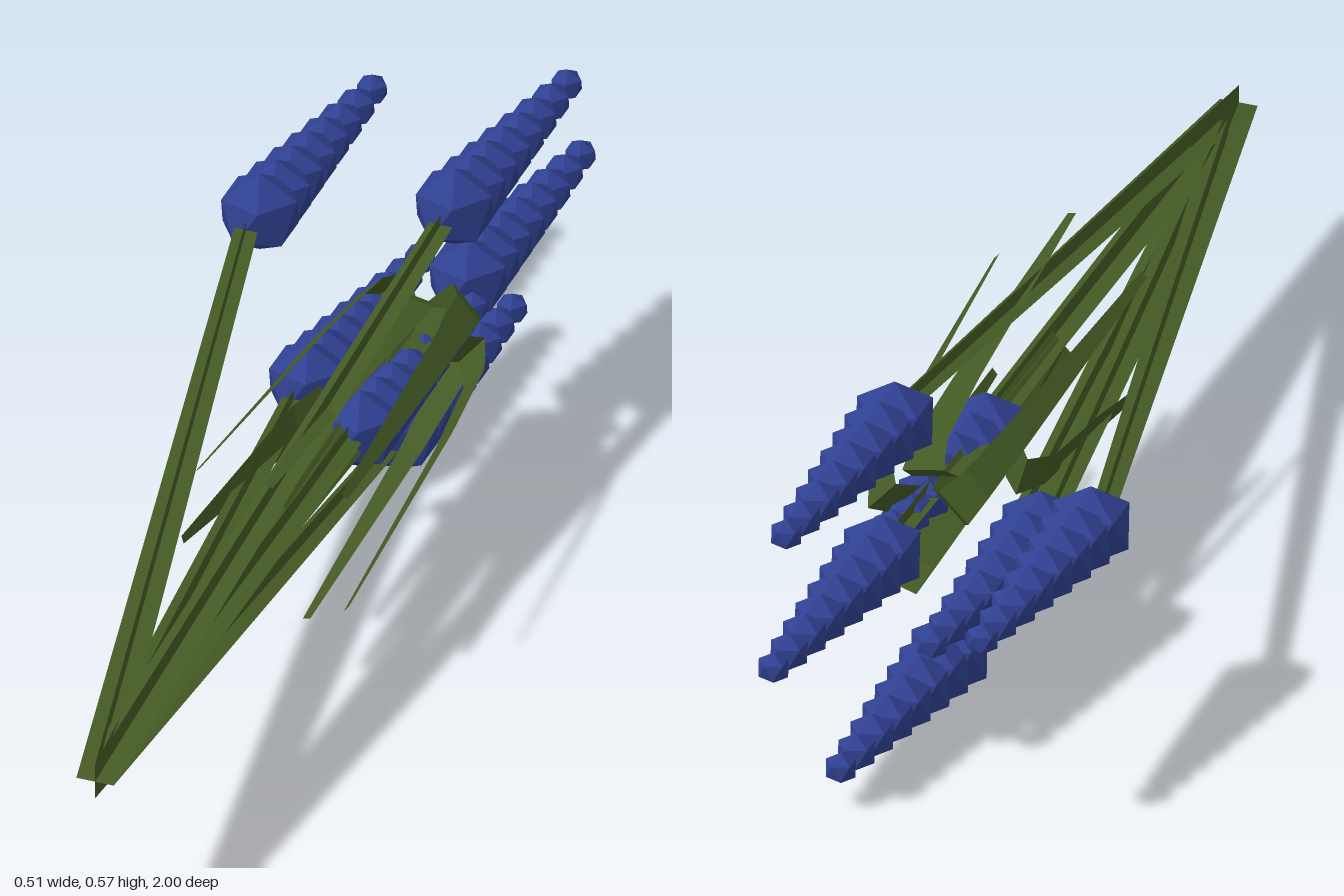
import * as THREE from 'three';

const green = new THREE.MeshStandardMaterial({ color: 0x445a24, flatShading: true, side: THREE.DoubleSide });
green.name = 'leaf green';
const blue = new THREE.MeshStandardMaterial({ color: 0x2f4090, flatShading: true });
blue.name = 'blossom blue';

const ROOT = new THREE.Vector3(0.122, 0.29, 1);

// Flat strip through points, widened along one side direction
function ribbon(points, side, widths, name) {
  const pos = [], idx = [];
  points.forEach((p, i) => {
    for (const s of [-0.5, 0.5]) {
      const q = p.clone().addScaledVector(side, s * widths[i]);
      pos.push(q.x, q.y, q.z);
    }
    if (i) {
      const a = 2 * i - 2;
      idx.push(a, a + 1, a + 2, a + 1, a + 3, a + 2);
    }
  });
  const geo = new THREE.BufferGeometry();
  geo.setAttribute('position', new THREE.Float32BufferAttribute(pos, 3));
  geo.setIndex(idx);
  geo.computeVertexNormals();
  const mesh = new THREE.Mesh(geo, green);
  mesh.name = name;
  return mesh;
}

// Stem: two crossed tapering planes from the shared root to the head
function makeStem(end) {
  const stem = new THREE.Group();
  stem.name = 'stem';
  for (const side of [new THREE.Vector3(1, 0, 0), new THREE.Vector3(0, 1, 0)]) {
    stem.add(ribbon([ROOT, end], side, [0.064, 0.04], 'stemBlade'));
  }
  return stem;
}

// Flower head: row of shrinking faceted blossoms
function makeHead(start, blossom) {
  const head = new THREE.Group();
  head.name = 'flowerHead';
  const count = 8;
  for (let i = 0; i < count; i++) {
    const t = i / (count - 1);
    const m = new THREE.Mesh(blossom, blue);
    m.name = 'blossom';
    m.scale.setScalar(THREE.MathUtils.lerp(0.0715, 0.028, t));
    m.position.set(start.x + 0.035 * t, start.y, start.z - 0.4 * t);
    head.add(m);
  }
  return head;
}

// Leaf: climbs beside the stems, bends outward and hangs back to a narrow tip
function makeLeaf([tipX, tipY, peakZ, tipZ]) {
  const out = new THREE.Vector3(tipX - ROOT.x, tipY - ROOT.y, 0);
  const reach = out.length();
  out.normalize();
  const side = new THREE.Vector3(-out.y, out.x, 0);
  const profile = [
    // fraction of reach, z, width
    [0.08, 0.17, 0.05],
    [0.16, peakZ + 0.2, 0.07],
    [0.30, peakZ + 0.04, 0.08],
    [0.50, peakZ, 0.072],
    [0.68, peakZ + 0.05, 0.058],
    [0.80, peakZ + 0.22, 0.045],
    [1.00, tipZ, 0.014],
  ];
  const pts = profile.map(([f, z]) =>
    new THREE.Vector3(ROOT.x, ROOT.y, z).addScaledVector(out, f * reach));
  return ribbon(pts, side, profile.map((p) => p[2]), 'leaf');
}

export function createModel() {
  const group = new THREE.Group();
  group.name = 'flowerBunch';

  // Blossom with a vertex pointing up
  const blossom = new THREE.IcosahedronGeometry(1, 0);
  blossom.rotateX(-Math.atan((1 + Math.sqrt(5)) / 2));
  blossom.rotateY(Math.PI / 2);

  // First blossom centre of each flower
  const flowers = [
    [-0.19, 0.395, -0.51],
    [0.155, 0.503, -0.482],
    [-0.025, 0.239, -0.3],
    [0.072, 0.074, -0.455],
    [0.142, 0.31, -0.575],
    [0.135, 0.292, -0.122],
  ];
  for (const f of flowers) {
    const start = new THREE.Vector3(...f);
    const flower = new THREE.Group();
    flower.name = 'flower';
    const end = start.clone();
    end.z += 0.06;
    flower.add(makeStem(end), makeHead(start, blossom));
    group.add(flower);
  }

  // Tip x, tip y, bend z, tip z of each leaf
  const leaves = [
    [0.003, 0.405, -0.46, 0.25],
    [0.247, 0.4, -0.46, 0.23],
    [0.25, 0.187, -0.48, 0.23],
    [0.17, 0.132, -0.5, 0.2],
    [0.152, 0.45, -0.4, 0.32],
    [-0.035, 0.245, -0.2, 0.22],
  ];
  for (const l of leaves) group.add(makeLeaf(l));

  return group;
}
